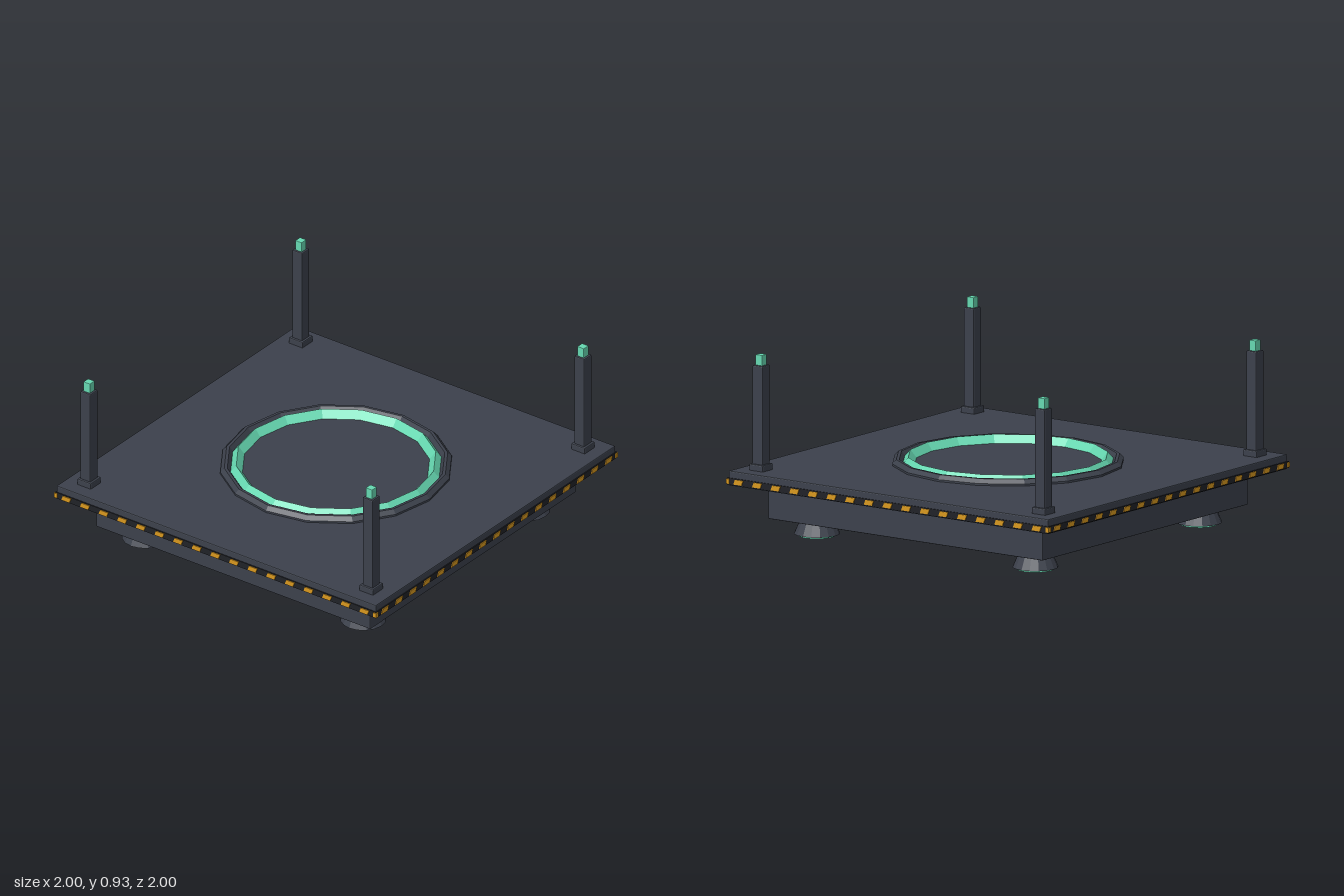
import * as THREE from 'three';
import { RoundedBoxGeometry } from 'three/addons/geometries/RoundedBoxGeometry.js';

const paint = (name, color) => {
  const m = new THREE.MeshStandardMaterial({ color });
  m.name = name;
  return m;
};

// Gives every face its own normal
const faceted = (geometry) => {
  const g = geometry.index ? geometry.toNonIndexed() : geometry;
  g.computeVertexNormals();
  return g;
};

export function createModel() {
  const model = new THREE.Group();
  model.name = 'landingPlatform';
  const slate = paint('slate', 0x3c414c);
  const black = paint('black', 0x202227);
  const amber = paint('amber', 0xd9991f);
  const mint = paint('mint', 0x66d9b2);

  const add = (parent, name, geometry, material, x = 0, y = 0, z = 0) => {
    const mesh = new THREE.Mesh(geometry, material);
    mesh.name = name;
    mesh.position.set(x, y, z);
    parent.add(mesh);
    return mesh;
  };
  // Bevelled box given by its width, bottom and top
  const block = (parent, name, width, bottom, top, material, bevel = 0.005) =>
    add(parent, name, faceted(new RoundedBoxGeometry(width, top - bottom, width, 1, bevel)),
      material, 0, (bottom + top) / 2, 0);
  const ring = (points) => faceted(new THREE.LatheGeometry(
    points.map(([r, y]) => new THREE.Vector2(r, y)), 16));

  // Platform slabs
  block(model, 'base', 1.7, 0.09, 0.27, slate);
  block(model, 'deck', 1.98, 0.265, 0.34, slate);

  // Hazard band with slanted dashes on all four edges
  add(model, 'hazardBand', new THREE.BoxGeometry(1.99, 0.034, 1.99), black, 0, 0.288, 0);
  const dash = new THREE.BoxGeometry(0.05, 0.025, 0.006);
  const p = dash.attributes.position;
  for (let i = 0; i < p.count; i++) p.setX(i, p.getX(i) + p.getY(i) * 0.4);
  dash.computeVertexNormals();
  for (let side = 0; side < 4; side++) {
    const edge = new THREE.Group();
    edge.name = 'hazardDashes';
    edge.rotation.y = side * Math.PI / 2;
    for (let i = 0; i < 17; i++) {
      add(edge, 'dash', dash, amber, (i - 8) * 0.1155, 0.288, 0.997);
    }
    // Short pieces where the pattern meets the corners
    for (const s of [-1, 1]) {
      add(edge, 'cornerDash', new THREE.BoxGeometry(0.02, 0.025, 0.006), amber, s * 0.99, 0.288, 0.997);
    }
    model.add(edge);
  }

  // Pad rings
  add(model, 'outerRing', ring([
    [0.58, 0.335], [0.58, 0.35], [0.56, 0.371], [0.545, 0.371], [0.52, 0.335],
  ]), slate);
  add(model, 'glowRing', ring([[0.535, 0.339], [0.5, 0.38], [0.468, 0.339]]), mint);

  // Corner posts and feet
  const footShape = faceted(new THREE.CylinderGeometry(0.08, 0.115, 0.082, 16));
  const padShape = faceted(new THREE.CylinderGeometry(0.095, 0.095, 0.012, 16));
  for (const sx of [-1, 1]) {
    for (const sz of [-1, 1]) {
      const post = new THREE.Group();
      post.name = 'cornerPost';
      post.position.set(sx * 0.875, 0, sz * 0.875);
      block(post, 'postCollar', 0.085, 0.335, 0.372, slate);
      block(post, 'postShaft', 0.062, 0.36, 0.872, slate);
      block(post, 'postLamp', 0.04, 0.865, 0.925, mint, 0.003);
      model.add(post);

      const foot = new THREE.Group();
      foot.name = 'foot';
      foot.position.set(sx * 0.677, 0, sz * 0.677);
      add(foot, 'footCone', footShape, slate, 0, 0.051, 0);
      add(foot, 'footGlow', padShape, mint, 0, 0.006, 0);
      model.add(foot);
    }
  }
  return model;
}
